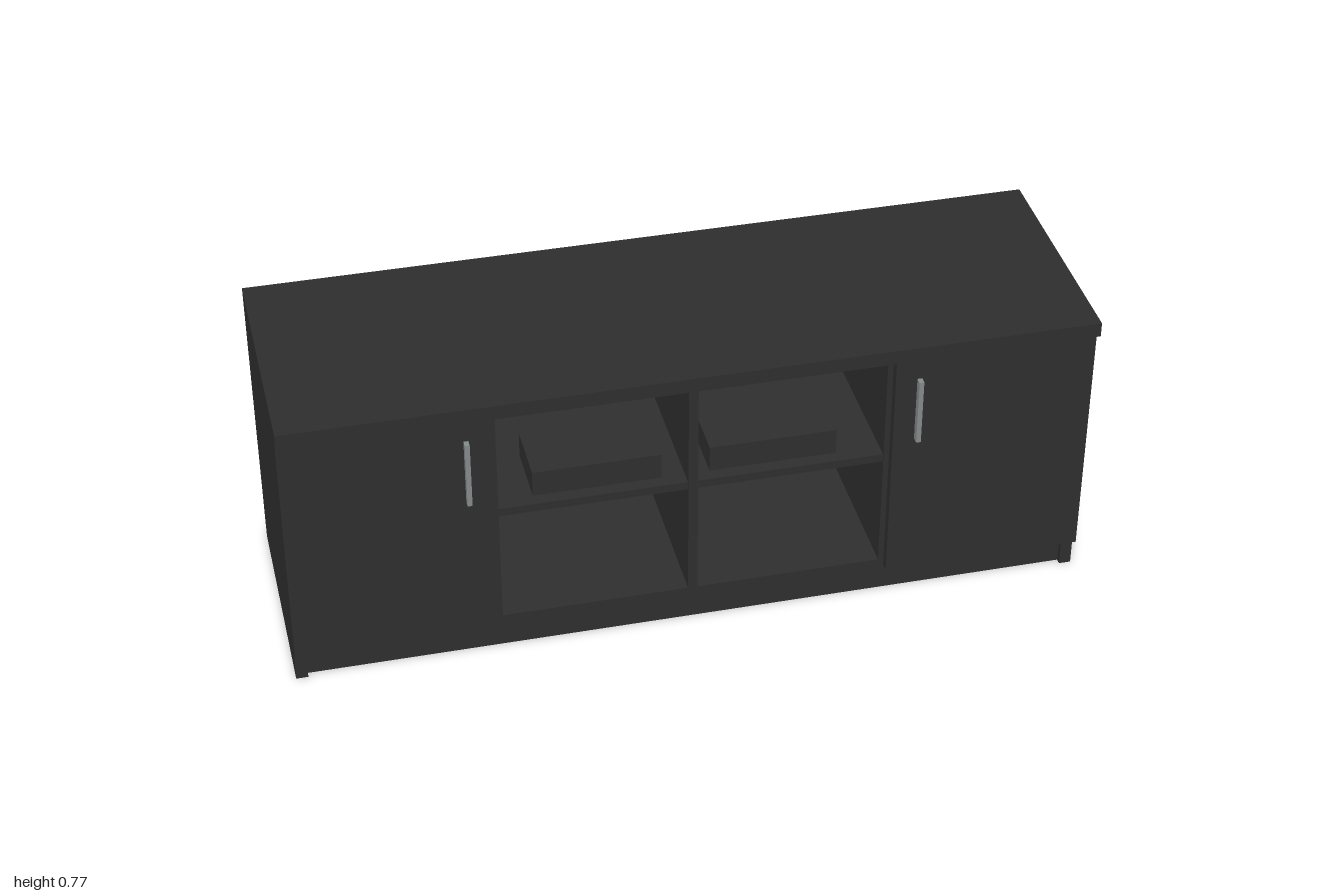
import * as THREE from 'three';

export function createModel() {
  const group = new THREE.Group();
  group.name = 'sideboard';
  const black = new THREE.MeshStandardMaterial({ color: 0x2e2e2e });
  black.name = 'black board';
  const steel = new THREE.MeshStandardMaterial({ color: 0x858a8a });
  steel.name = 'brushed steel';

  // Box given by its extents on each axis
  function board(name, [x0, x1], [y0, y1], [z0, z1], material = black) {
    const mesh = new THREE.Mesh(new THREE.BoxGeometry(x1 - x0, y1 - y0, z1 - z0), material);
    mesh.position.set((x0 + x1) / 2, (y0 + y1) / 2, (z0 + z1) / 2);
    mesh.name = name;
    group.add(mesh);
  }
  const mirror = (s, a, b) => (s > 0 ? [a, b] : [-b, -a]);

  const back = -0.3125, inner = -0.295, front = 0.265;

  // Carcass
  board('top', [-1, 1], [0.737, 0.775], [back, 0.3125]);
  board('backPanel', [-0.97, 0.97], [0, 0.737], [back, inner]);
  board('floor', [-0.97, 0.97], [0.083, 0.103], [inner, front]);
  board('plinth', [-0.97, 0.97], [0, 0.083], [0.228, 0.25]);
  board('centreDivider', [-0.012, 0.012], [0.103, 0.737], [inner, front]);

  // Mirrored sides, dividers, shelves, doors and handles
  for (const s of [-1, 1]) {
    const side = s > 0 ? 'left' : 'right';
    board(side + 'Side', mirror(s, 0.97, 1), [0, 0.737], [back, front]);
    board(side + 'Divider', mirror(s, 0.481, 0.505), [0.103, 0.737], [inner, front]);
    board(side + 'Shelf', mirror(s, 0.012, 0.481), [0.409, 0.431], [inner, 0.26]);
    board(side + 'Door', mirror(s, 0.495, 1), [0.083, 0.732], [front, 0.288]);
    board(side + 'Handle', mirror(s, 0.549, 0.561), [0.488, 0.667], [0.288, 0.306], steel);
  }

  // Flat media boxes standing on the shelves
  board('rightMediaBox', [-0.39, -0.07], [0.431, 0.5], [0.06, 0.227]);
  board('leftMediaBox', [0.05, 0.37], [0.431, 0.5], [0.01, 0.227]);

  return group;
}
